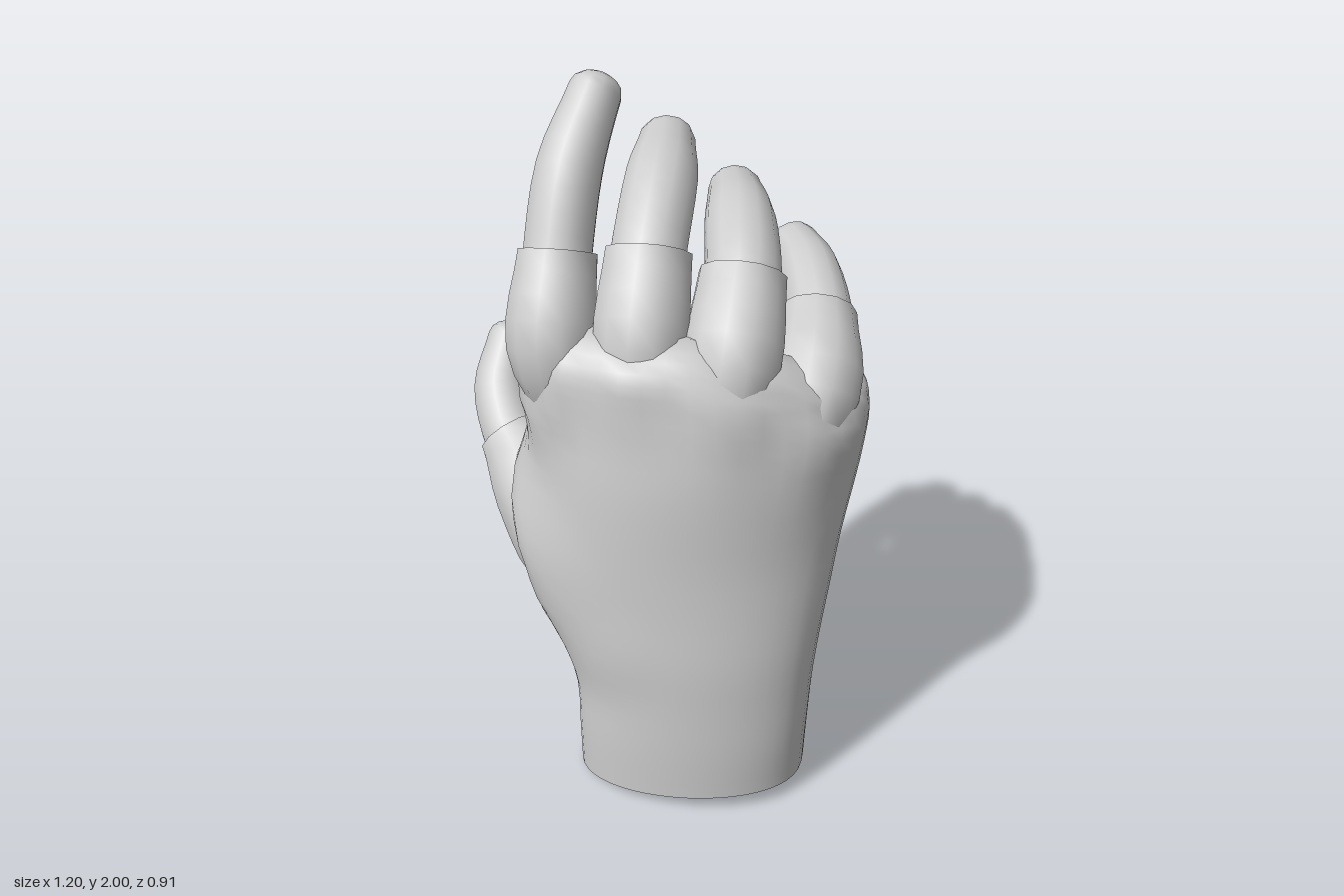
import * as THREE from 'three';

const SIDES = 12;
const material = new THREE.MeshStandardMaterial({ color: 0xcccccc, side: THREE.DoubleSide });
const middle = ring => ring.reduce((s, p) => s.add(p), new THREE.Vector3()).divideScalar(ring.length);

// Skin a list of closed rings of points into a smooth surface.
function loft(name, rings, capEnd = false) {
  const n = rings[0].length, pos = [], idx = [];
  rings.forEach(r => r.forEach(p => pos.push(p.x, p.y, p.z)));
  for (let i = 0; i < rings.length - 1; i++) {
    for (let j = 0; j < n; j++) {
      const a = i * n + j, b = i * n + (j + 1) % n;
      idx.push(a, b, a + n, b, b + n, a + n);
    }
  }
  if (capEnd) {
    const c = middle(rings[rings.length - 1]), base = (rings.length - 1) * n;
    pos.push(c.x, c.y, c.z);
    for (let j = 0; j < n; j++) idx.push(base + j, base + (j + 1) % n, rings.length * n);
  }
  const g = new THREE.BufferGeometry();
  g.setAttribute('position', new THREE.Float32BufferAttribute(pos, 3));
  g.setIndex(idx);
  g.computeVertexNormals();
  const mesh = new THREE.Mesh(g, material);
  mesh.name = name;
  return mesh;
}

// Oval ring round a point, square to a direction.
function ovalRing(centre, dir, r, flat) {
  const side = new THREE.Vector3(1, 0, 0).addScaledVector(dir, -dir.x).normalize();
  const up = dir.clone().cross(side);
  return Array.from({ length: SIDES }, (_, j) => {
    const u = j / SIDES * Math.PI * 2;
    return centre.clone().addScaledVector(side, r * Math.cos(u)).addScaledVector(up, r * flat * Math.sin(u));
  });
}

// Rings along a path of [x, y, z, radius] stations, with an optional domed end.
function limbRings(stations, flat, dome) {
  const path = new THREE.CatmullRomCurve3(stations.map(s => new THREE.Vector3(s[0], s[1], s[2])));
  const radius = new THREE.SplineCurve(stations.map((s, i) => new THREE.Vector2(i, s[3])));
  const steps = (stations.length - 1) * 4, rings = [];
  for (let i = 0; i <= steps; i++) {
    const t = i / steps;
    rings.push(ovalRing(path.getPoint(t), path.getTangent(t), radius.getPoint(t).y, flat));
  }
  if (dome) {
    const end = path.getPoint(1), dir = path.getTangent(1), r = stations[stations.length - 1][3];
    for (const a of [0.45, 0.85, 1.2]) {
      rings.push(ovalRing(end.clone().addScaledVector(dir, r * 0.7 * Math.sin(a)), dir, r * Math.cos(a), flat));
    }
  }
  return rings;
}

// y, x from, x to, z centre, half thickness, bow, tilt, drop on the little-finger side, hem slant
const HAND = [
  [0.035, -0.15, 0.51, 0.225, 0.22, 0, 0.03, 0, 0.018],
  [0.2, -0.155, 0.515, 0.225, 0.217, 0, 0.03, 0, 0.008],
  [0.36, -0.165, 0.52, 0.225, 0.21, 0.02, 0.03, 0, 0],
  [0.5, -0.21, 0.53, 0.225, 0.205, 0.05, 0.03, 0, 0],
  [0.65, -0.28, 0.545, 0.225, 0.192, 0.09, 0.035, 0, 0],
  [0.8, -0.33, 0.56, 0.225, 0.18, 0.13, 0.045, 0, 0],
  [1.0, -0.335, 0.59, 0.225, 0.162, 0.18, 0.06, 0, 0],
  [1.14, -0.335, 0.598, 0.215, 0.147, 0.19, 0.07, 0.02, 0],
  [1.26, -0.34, 0.58, 0.205, 0.128, 0.19, 0.08, 0.07, 0],
  [1.34, -0.33, 0.55, 0.19, 0.11, 0.18, 0.085, 0.12, 0],
  [1.395, -0.28, 0.48, 0.17, 0.06, 0.17, 0.07, 0.14, 0],
];
const handAt = new THREE.CubicInterpolant(HAND.map((_, i) => i), HAND.flat(), 9);

// Cross-section of the hand: a full oval bowed towards the palm, less so on the back.
function handRing(row, inset = 0) {
  const n = 48, [y, x0, x1, zc, b, bow, tilt, drop, lift] = handAt.evaluate(row);
  return Array.from({ length: n }, (_, j) => {
    const u = j / n * Math.PI * 2, s = Math.cos(u);
    const w = -Math.sign(Math.sin(u)) * Math.abs(Math.sin(u)) ** 0.85;
    return new THREE.Vector3(
      (x0 + x1) / 2 + ((x1 - x0) / 2 - inset) * s,
      y - drop * Math.max(0, s) ** 2 + lift * (s + w),
      zc + (b - inset) * w - bow * (1 - 0.35 * Math.max(0, w)) * s * s - tilt * s);
  });
}
const handRings = (to, inset) => Array.from({ length: to * 3 + 1 }, (_, i) => handRing(i / 3, inset));

// Sleeve runs from inside the hand to the cut edge; finger runs on to the tip.
const DIGITS = [
  { name: 'indexFinger', flat: 0.95,
    sleeve: [[-0.19, 1.1, 0.18, 0.07], [-0.233, 1.35, 0.2, 0.125], [-0.245, 1.57, 0.09, 0.11]],
    tip: [[-0.24, 1.77, -0.01, 0.093], [-0.205, 1.945, -0.14, 0.075]] },
  { name: 'middleFinger', flat: 0.9,
    sleeve: [[0.02, 1.1, 0.21, 0.08], [0.01, 1.37, 0.19, 0.13], [-0.005, 1.58, 0.05, 0.12]],
    tip: [[-0.02, 1.72, -0.13, 0.102], [-0.05, 1.775, -0.305, 0.08]] },
  { name: 'ringFinger', flat: 0.9,
    sleeve: [[0.22, 1.06, 0.2, 0.08], [0.25, 1.33, 0.16, 0.134], [0.24, 1.52, -0.01, 0.12]],
    tip: [[0.192, 1.61, -0.18, 0.098], [0.138, 1.635, -0.35, 0.076]] },
  { name: 'littleFinger', flat: 0.9,
    sleeve: [[0.39, 0.98, 0.14, 0.06], [0.45, 1.22, 0.04, 0.132], [0.425, 1.365, -0.165, 0.108]],
    tip: [[0.37, 1.435, -0.3, 0.087], [0.305, 1.47, -0.4, 0.072]] },
  { name: 'thumb', flat: 1,
    sleeve: [[-0.03, 0.5, 0.2, 0.12], [-0.2, 0.68, 0.105, 0.188], [-0.34, 0.81, 0.045, 0.152], [-0.455, 0.915, -0.04, 0.106]],
    tip: [[-0.515, 1.02, -0.125, 0.087], [-0.515, 1.145, -0.22, 0.071]] },
];

// Swell the hand where a sleeve leaves it, so knuckles and thumb base flow in.
function swell(mesh) {
  const balls = DIGITS.flatMap(({ name, flat, sleeve }) => limbRings(sleeve, flat, false).slice(0, -2).map(ring => {
    const c = middle(ring);
    return { c, r: c.distanceTo(ring[0]), reach: name === 'thumb' ? 0.18 : 0.1 };
  }));
  const { position, normal } = mesh.geometry.attributes;
  const p = new THREE.Vector3(), n = new THREE.Vector3();
  for (let i = 0; i < position.count; i++) {
    p.fromBufferAttribute(position, i);
    n.fromBufferAttribute(normal, i);
    const push = Math.max(...balls.map(({ c, r, reach }) => {
      const h = Math.max(0, 1 - Math.abs(p.distanceTo(c) - r) / reach);
      return 0.28 * reach * h * h;
    }));
    p.addScaledVector(n, push);
    position.setXYZ(i, p.x, p.y, p.z);
  }
  mesh.geometry.computeVertexNormals();
  return mesh;
}

function createDigit({ name, flat, sleeve, tip }) {
  const group = new THREE.Group();
  group.name = name;
  const rings = limbRings(sleeve, flat, false);
  const edge = rings[rings.length - 1];
  const centre = middle(edge);
  const inner = edge.map(p => p.clone().lerp(centre, 0.13));
  // finger starts just inside the sleeve edge
  const last = sleeve[sleeve.length - 1], prev = sleeve[sleeve.length - 2];
  const r = last[3] * 0.87;
  const start = [0, 1, 2].map(i => last[i] + (prev[i] - last[i]) * 0.15);
  const finger = [[...start, r], [...last.slice(0, 3), r], ...tip];
  group.add(
    loft(name + 'Sleeve', rings),
    loft(name + 'Cuff', [edge, inner]),
    loft(name + 'Tip', limbRings(finger, flat, true), true));
  return group;
}

export function createModel() {
  const hand = new THREE.Group();
  hand.name = 'hand';
  // hand body, open at the wrist
  hand.add(swell(loft('palm', handRings(HAND.length - 1, 0), true)));
  // wrist hem and inner lining
  hand.add(loft('wristHem', [handRing(0, 0.012), handRing(0)]));
  hand.add(loft('lining', handRings(6, 0.012), true));
  DIGITS.forEach(d => hand.add(createDigit(d)));
  return hand;
}
